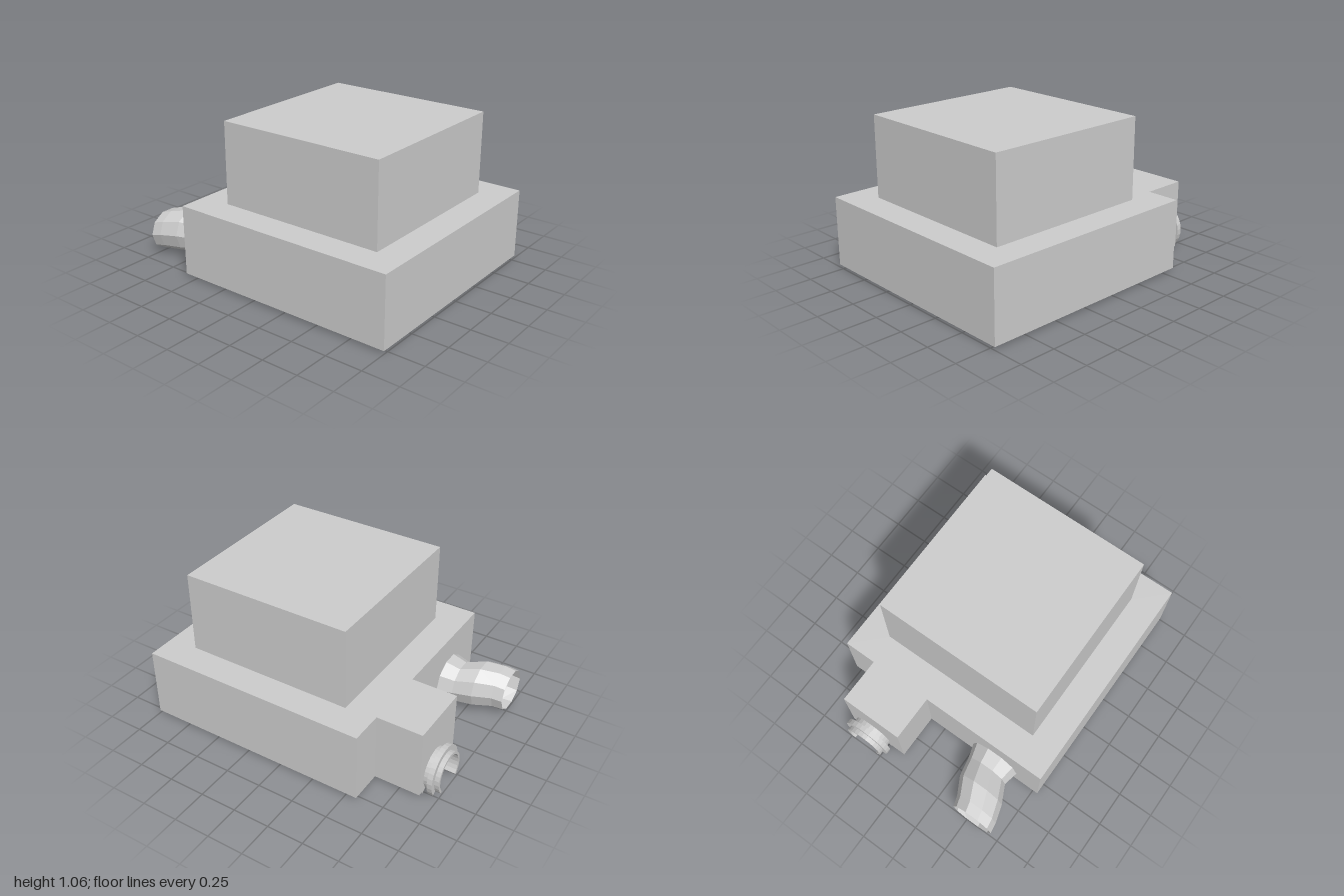
import * as THREE from 'three';

const grey = new THREE.MeshStandardMaterial({ color: 0xcccccc, flatShading: true, side: THREE.DoubleSide });

export function createModel() {
  const model = new THREE.Group();
  const add = (name, geometry, x = 0, y = 0, z = 0) => {
    const mesh = new THREE.Mesh(geometry, grey);
    mesh.name = name;
    mesh.position.set(x, y, z);
    model.add(mesh);
    return mesh;
  };
  const polygon = pts => pts.map(([x, y]) => new THREE.Vector2(x, y));
  const extrude = (shape, depth) =>
    new THREE.ExtrudeGeometry(shape, { depth, bevelEnabled: false, curveSegments: 10 });

  // Base: a slab with a cross-shaped socket underneath, closed by the upper slab
  const L = -0.787, R = 0.787, back = -0.58, front = 1;
  const bottom = 0.02, top = 0.5, socketTop = 0.2;
  const slab = new THREE.Shape(polygon([[L, -front], [R, -front], [R, -back], [L, -back]]));
  const a = 0.055, b = 0.29, cz = -0.21;
  slab.holes.push(new THREE.Path(polygon([
    [a, b], [a, a], [b, a], [b, -a], [a, -a], [a, -b],
    [-a, -b], [-a, -a], [-b, -a], [-b, a], [-a, a], [-a, b],
  ].map(([x, y]) => [x, y + cz]))));
  const lower = extrude(slab, socketTop - bottom);
  lower.rotateX(-Math.PI / 2);
  add('lowerBase', lower, 0, bottom, 0);
  add('upperBase', new THREE.BoxGeometry(R - L, top - socketTop, front - back),
    0, (top + socketTop) / 2, (front + back) / 2);

  // Small catches at the ends of the socket arms
  for (let i = 0; i < 4; i++) {
    const t = i * Math.PI / 2;
    add('socketCatch', new THREE.BoxGeometry(0.05, 0.03, 0.05),
      Math.cos(t) * 0.265, 0.06, -cz + Math.sin(t) * 0.265);
  }

  // Upper block
  add('upperBlock', new THREE.BoxGeometry(1.17, 0.56, 1.175), 0, 0.78, 0.2125);

  // Rear housing with an arched opening
  const cx = 0.373, cy = 0.115;
  const housing = new THREE.Shape(polygon([[0.117, bottom], [0.56, bottom], [0.56, top], [0.117, top]]));
  const opening = new THREE.Path();
  opening.absarc(cx, cy, 0.122, -0.72, Math.PI + 0.72, false);
  opening.closePath();
  housing.holes.push(opening);
  add('rearHousing', extrude(housing, 0.317), 0, 0, -0.895);

  // Open-bottomed collar around the opening
  const arch = (inner, outer, depth, drop) => {
    const shape = new THREE.Shape();
    shape.absarc(0, 0, outer, -drop, Math.PI + drop, false);
    shape.absarc(0, 0, inner, Math.PI + drop, -drop, true);
    return extrude(shape, depth);
  };
  add('collar', arch(0.122, 0.14, 0.105, 0.74), cx, cy, -1);
  add('collarFlange', arch(0.138, 0.173, 0.035, 0.58), cx, cy, -0.968);
  for (const s of [-1, 1]) {
    const tip = new THREE.Shape(polygon([[s * 0.11, 0.02], [s * 0.15, 0.02], [s * 0.145, 0]]));
    add('collarTip', extrude(tip, 0.01), cx, 0, -0.895);
  }

  // Bent hose: octagonal rings as [x, y, z, radius]
  const rings = [
    [-0.43, 0.17, -0.575, 0.18],
    [-0.435, 0.165, -0.68, 0.152],
    [-0.48, 0.175, -0.81, 0.172],
    [-0.53, 0.165, -0.93, 0.158],
    [-0.545, 0.15, -1, 0.153],
  ];
  const sides = 10, pos = [], index = [];
  rings.forEach(([x, y, z, r], i) => {
    for (let j = 0; j < sides; j++) {
      const t = j / sides * Math.PI * 2;
      pos.push(x + r * Math.cos(t), Math.max(bottom, y + r * 0.93 * Math.sin(t)), z);
      if (i === 0) continue;
      const k = (j + 1) % sides, p = (i - 1) * sides, q = i * sides;
      index.push(p + j, p + k, q + j, p + k, q + k, q + j);
    }
  });
  const hose = new THREE.BufferGeometry();
  hose.setAttribute('position', new THREE.Float32BufferAttribute(pos, 3));
  hose.setIndex(index);
  // Winding is reversed because the rings run towards -z
  const flipped = hose.getIndex().array;
  for (let i = 0; i < flipped.length; i += 3) [flipped[i + 1], flipped[i + 2]] = [flipped[i + 2], flipped[i + 1]];
  hose.computeVertexNormals();
  add('hose', hose);

  return model;
}
